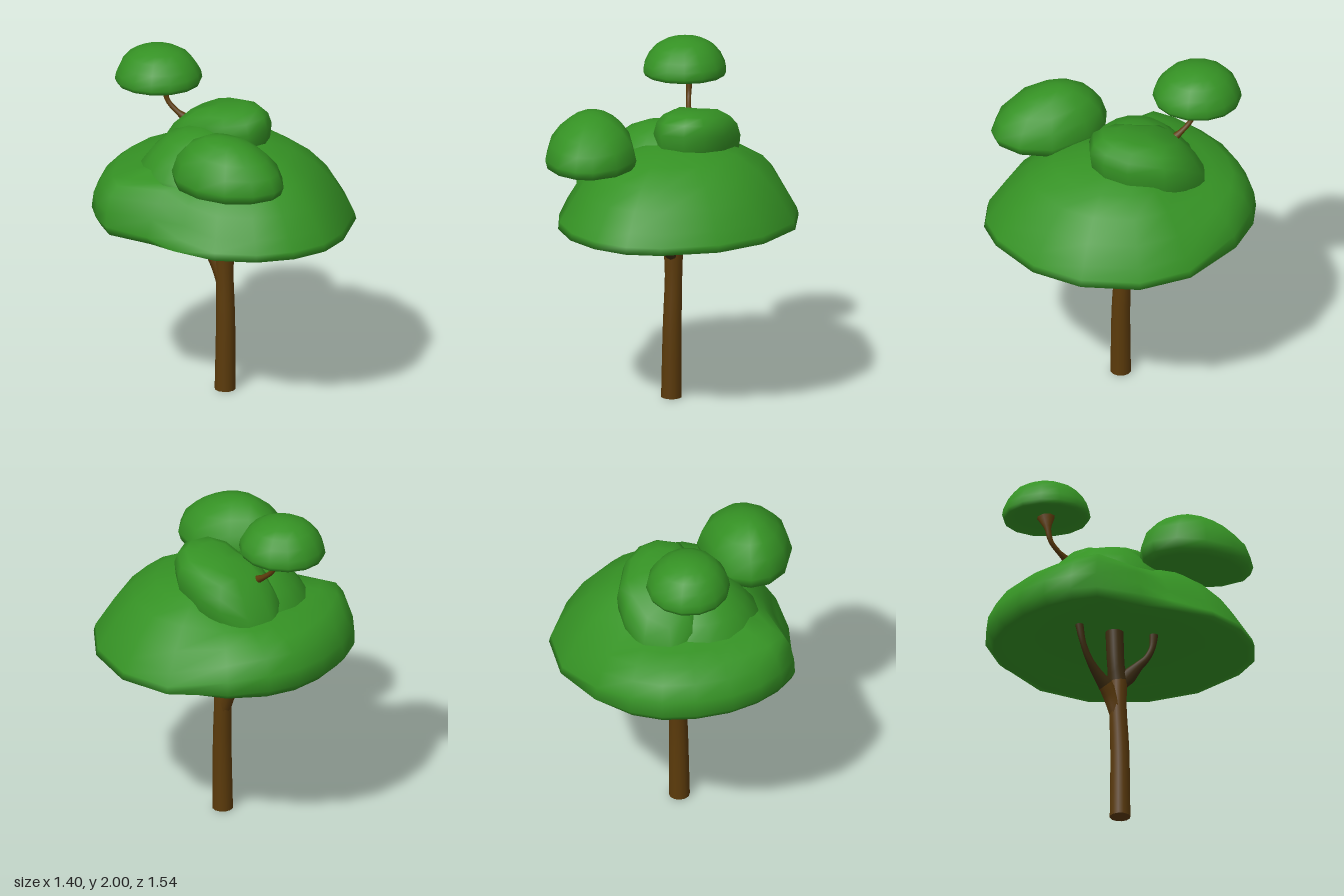
import * as THREE from 'three';
import { mergeVertices } from 'three/addons/utils/BufferGeometryUtils.js';

const leaf = new THREE.MeshStandardMaterial({ name: 'leafGreen', color: 0x359224 });
const bark = new THREE.MeshStandardMaterial({ name: 'barkBrown', color: 0x5c3b0b });
const darkBark = new THREE.MeshStandardMaterial({ name: 'darkBark', color: 0x3e2d10 });

const V = (x, y, z) => new THREE.Vector3(x, y, z);

// Foliage dome: an outline [x, z] scaled toward its centre by rows [fraction, y], with an optional warp
function dome(name, outline, [cx, cz], rows, warp = () => {}) {
  const pos = [], idx = [], n = outline.length;
  rows.forEach((row) => outline.forEach(([ox, oz]) => {
    const p = V(cx + (ox - cx) * row[0], row[1], cz + (oz - cz) * row[0]);
    if (row[0] > 0) warp(p, row, ox, oz);
    pos.push(p.x, p.y, p.z);
  }));
  for (let i = 0; i < rows.length - 1; i++) {
    for (let j = 0; j < n; j++) {
      const a = i * n + j, b = i * n + (j + 1) % n;
      idx.push(a, a + n, b, b, a + n, b + n);
    }
  }
  let g = new THREE.BufferGeometry();
  g.setAttribute('position', new THREE.Float32BufferAttribute(pos, 3));
  g.setIndex(idx);
  g = mergeVertices(g);
  g.computeVertexNormals();
  const mesh = new THREE.Mesh(g, leaf);
  mesh.name = name;
  return mesh;
}

function ellipse(cx, cz, rx, rz, n) {
  return Array.from({ length: n }, (_, i) => {
    const a = (i / n) * Math.PI * 2;
    return [cx + rx * Math.cos(a), cz + rz * Math.sin(a)];
  });
}

// Tapered limb along a smooth path; radii are spread evenly over the path points
function limb(name, material, points, radii, sides = 12) {
  const curve = new THREE.CatmullRomCurve3(points);
  const steps = (points.length - 1) * 4;
  const g = new THREE.TubeGeometry(curve, steps, 1, sides);
  const pos = g.attributes.position, p = V(0, 0, 0);
  for (let i = 0; i < pos.count; i++) {
    const u = Math.floor(i / (sides + 1)) / steps;
    const t = curve.getUtoTmapping(u) * (radii.length - 1);
    const k = Math.min(Math.floor(t), radii.length - 2);
    const r = THREE.MathUtils.lerp(radii[k], radii[k + 1], t - k);
    const c = curve.getPointAt(u);
    p.fromBufferAttribute(pos, i).sub(c).multiplyScalar(r).add(c);
    pos.setXYZ(i, p.x, p.y, p.z);
  }
  const mesh = new THREE.Mesh(g, material);
  mesh.name = name;
  return mesh;
}

export function createModel() {
  const tree = new THREE.Group();
  tree.name = 'tree';

  // Trunk with a closed foot, and its darker upper part
  tree.add(limb('trunk', bark,
    [V(-0.04, 0, -0.01), V(-0.035, 0.42, -0.01), V(-0.03, 0.7, -0.02), V(-0.03, 0.86, -0.02)],
    [0.06, 0.055, 0.05, 0.056]));
  const foot = new THREE.Mesh(new THREE.CircleGeometry(0.06, 12), bark);
  foot.name = 'trunkFoot';
  foot.rotation.x = Math.PI / 2;
  foot.position.set(-0.04, 0.001, -0.01);
  tree.add(foot);
  tree.add(limb('upperTrunk', darkBark,
    [V(-0.03, 0.85, -0.02), V(-0.034, 0.95, -0.033), V(-0.036, 1.24, -0.045)], [0.058, 0.05, 0.053]));

  // Forked branches into the canopy
  tree.add(limb('frontBranch', darkBark,
    [V(-0.03, 0.84, 0), V(-0.045, 0.89, 0.04), V(-0.065, 0.95, 0.09), V(-0.08, 1.0, 0.135), V(-0.085, 1.07, 0.168), V(-0.085, 1.18, 0.18)],
    [0.035, 0.045, 0.028, 0.02, 0.018, 0.028], 8));
  tree.add(limb('backBranchBase', bark,
    [V(-0.03, 0.65, -0.025), V(-0.032, 0.74, -0.055), V(-0.04, 0.82, -0.1)], [0.045, 0.048, 0.043], 8));
  tree.add(limb('backBranch', darkBark,
    [V(-0.04, 0.815, -0.097), V(-0.05, 0.875, -0.15), V(-0.065, 0.95, -0.205), V(-0.08, 1.05, -0.25), V(-0.085, 1.2, -0.28)],
    [0.045, 0.031, 0.021, 0.018, 0.028], 8));

  // Main canopy: steep dome in front, low rounded shelf behind, notch on the -x side, hollow below
  const canopyOutline = [
    [0.7, 0.06], [0.59, 0.38], [0.38, 0.61], [0.07, 0.75], [-0.13, 0.77], [-0.33, 0.7], [-0.5, 0.56],
    [-0.62, 0.35], [-0.67, 0.1], [-0.67, -0.1], [-0.68, -0.38], [-0.6, -0.51], [-0.48, -0.63],
    [-0.31, -0.72], [-0.1, -0.77], [0.1, -0.77], [0.28, -0.71], [0.47, -0.56], [0.65, -0.25],
  ];
  const canopyRows = [ // fraction, front height, back height
    [0, 1.16, 1.16], [0.5, 1.145, 1.145], [0.8, 1.095, 1.095], [0.94, 1.057, 1.057], [1, 1.06, 1.11], [0.985, 1.1, 1.2],
    [0.925, 1.17, 1.29], [0.83, 1.28, 1.35], [0.68, 1.39, 1.38], [0.5, 1.47, 1.41], [0.27, 1.515, 1.47], [0, 1.53, 1.53],
  ];
  tree.add(dome('mainCanopy', canopyOutline, [0, 0], canopyRows, (p, row, ox, oz) => {
    const back = THREE.MathUtils.smoothstep((-oz - 0.35 * ox) / Math.hypot(ox, oz), 0.05, ox > 0 ? 0.8 : 0.5);
    p.y = THREE.MathUtils.lerp(row[1], row[2], back);
    if (ox < 0 && p.y > 1.12) p.x *= 1 - 0.1 * Math.exp(-((oz / 0.16) ** 2));
    // fuller shoulder on the rear -x corner
    const shoulder = Math.exp(-((ox + 0.66) ** 2 + (oz + 0.4) ** 2) / 0.03);
    p.x *= 1 + 0.55 * shoulder * (1 - row[0]);
    p.z *= 1 + 0.55 * shoulder * (1 - row[0]);
  }));

  // Broad mound that slopes from the middle of the canopy out to its rear shelf
  tree.add(dome('rearMound', ellipse(-0.13, -0.12, 0.39, 0.38, 18), [-0.13, -0.12],
    [[0, 1.25], [1, 1.27], [0.9, 1.38], [0.72, 1.47], [0.5, 1.55], [0.25, 1.59], [0, 1.6]]));

  // Middle lobe, steep in front and sloping down to the back
  const middleOutline = [
    [0.325, -0.18], [0.28, 0.03], [0.19, 0.15], [0.08, 0.2], [-0.06, 0.17], [-0.13, 0.05],
    [-0.12, -0.1], [-0.14, -0.28], [-0.1, -0.43], [0.03, -0.52], [0.19, -0.46], [0.29, -0.32],
  ];
  tree.add(dome('middleLobe', middleOutline, [0.07, -0.13],
    [[0, 1.38], [0.9, 1.38], [0.97, 1.46], [1, 1.54], [0.93, 1.605], [0.77, 1.65], [0.5, 1.68], [0, 1.685]],
    (p) => { p.y += 0.2 * (p.z + 0.13) - 2 * Math.min(0, p.z + 0.2) ** 2; }));

  // Overhanging side lobe
  const sideOutline = [
    [-0.16, 0.36], [-0.23, 0.54], [-0.35, 0.64], [-0.45, 0.65], [-0.57, 0.59], [-0.67, 0.46], [-0.7, 0.28],
    [-0.66, 0.11], [-0.56, 0], [-0.45, -0.03], [-0.32, 0.01], [-0.23, 0.13],
  ];
  tree.add(dome('sideLobe', sideOutline, [-0.44, 0.31],
    [[0, 1.43], [0.8, 1.43], [0.95, 1.445], [1, 1.5], [0.9, 1.59], [0.7, 1.66], [0.42, 1.715], [0.2, 1.732], [0, 1.737]],
    (p, row) => { p.y -= Math.max(0, row[1] - 1.44) * 0.45 * (p.z - 0.31); }));

  // Small crown on its own curved twig
  tree.add(limb('crownTwig', bark,
    [V(0, 1.565, -0.29), V(-0.02, 1.61, -0.365), V(-0.033, 1.67, -0.425), V(-0.035, 1.75, -0.445), V(-0.035, 1.82, -0.455)],
    [0.03, 0.015, 0.014, 0.019, 0.055], 8));
  tree.add(dome('topCrown', ellipse(-0.065, -0.465, 0.24, 0.255, 14), [-0.065, -0.465],
    [[0, 1.82], [0.75, 1.81], [0.88, 1.79], [0.96, 1.787], [1, 1.81], [0.97, 1.85], [0.87, 1.9], [0.7, 1.95], [0.48, 1.98], [0.22, 1.997], [0, 2]],
    (p) => { p.y += p.y < 1.86 ? 0.03 * (p.z + 0.465) : 0; }));

  return tree;
}
